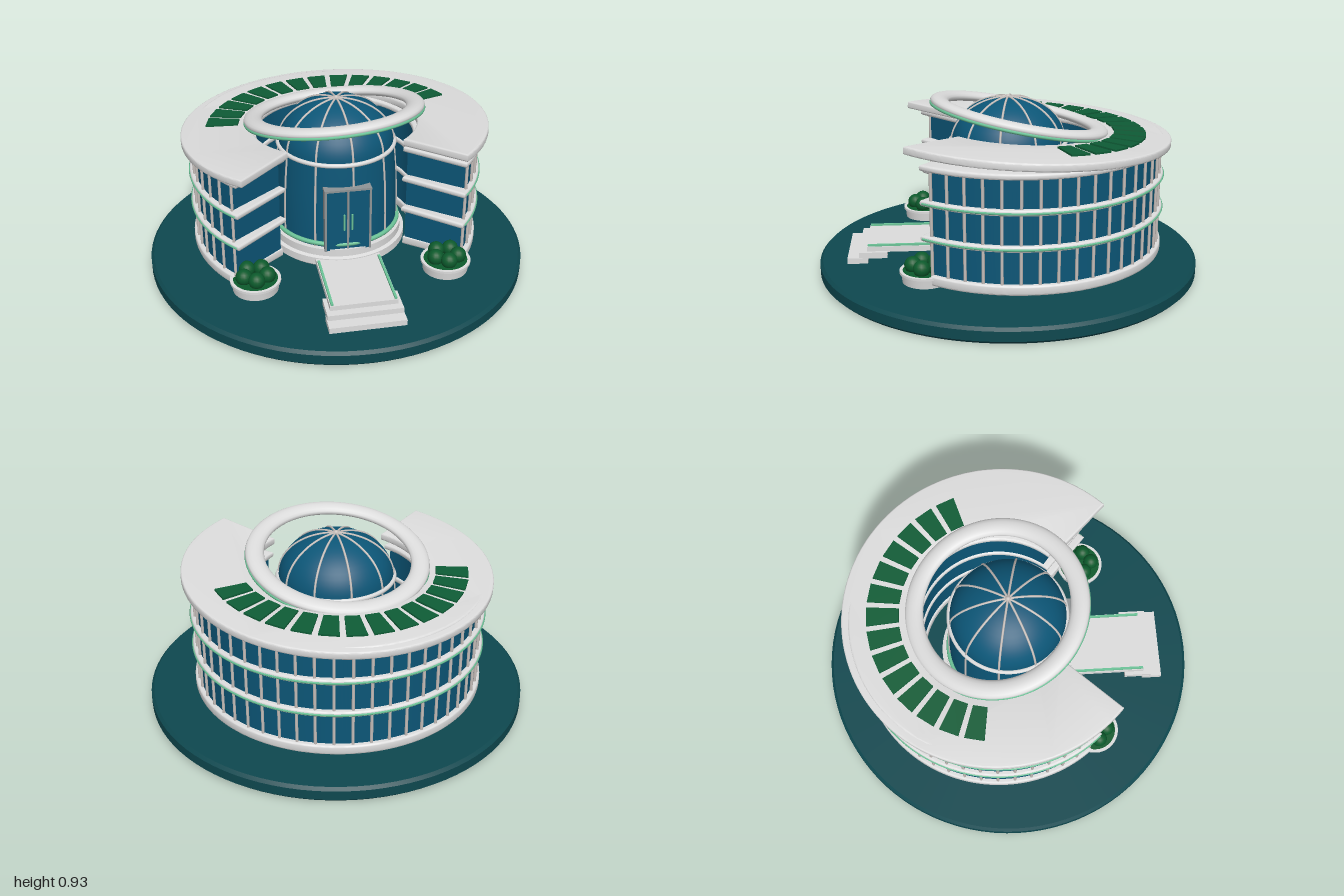
import * as THREE from 'three';
import { toCreasedNormals } from 'three/addons/utils/BufferGeometryUtils.js';

const mat = (name, color) => Object.assign(new THREE.MeshStandardMaterial({ color }), { name });
const M = {
  ground: mat('dark teal', 0x0e484f),
  glass: mat('blue glass', 0x0c5677),
  white: mat('white concrete', 0xdcdcdc),
  metal: mat('light metal', 0xc9c2be),
  frame: mat('door frame grey', 0x8f9496),
  panel: mat('panel green', 0x0e5c36),
  leaf: mat('leaf green', 0x0c5a2c),
  trim: mat('mint trim', 0x6cc498),
};
const CZ = -0.05; // centre of the horseshoe wing
const rad = THREE.MathUtils.degToRad;

function add(parent, name, geo, material, x = 0, y = 0, z = 0) {
  const m = new THREE.Mesh(geo, material);
  m.name = name;
  m.position.set(x, y, z);
  parent.add(m);
  return m;
}
const crease = (g) => toCreasedNormals(g, 0.6);
const lathe = (pts, n = 72) =>
  crease(new THREE.LatheGeometry(pts.map((p) => new THREE.Vector2(p[0], p[1])), n));

// Ring sector lying flat, open to the front; "end" is how far it passes the x axis
function sector(r0, r1, end, h, bevel = 0) {
  const a = -rad(end) + bevel / r1, b = Math.PI - a;
  const s = new THREE.Shape();
  s.absarc(0, 0, r1 - bevel, a, b, false);
  s.absarc(0, 0, r0 + bevel, b, a, true);
  const g = new THREE.ExtrudeGeometry(s, {
    depth: h - 2 * bevel, curveSegments: 90, bevelEnabled: bevel > 0,
    bevelSize: bevel, bevelThickness: bevel, bevelSegments: 3,
  });
  return crease(g.translate(0, 0, bevel).rotateX(-Math.PI / 2));
}

// Thin round trim following the wing
function arcTrim(r, end, tube) {
  return new THREE.TorusGeometry(r, tube, 6, 100, Math.PI + 2 * rad(end))
    .rotateZ(-rad(end)).rotateX(-Math.PI / 2);
}

function buildWing() {
  const g = new THREE.Group();
  g.name = 'wing';
  g.position.z = CZ;
  add(g, 'wingGlass', sector(0.42, 0.735, 38, 0.55), M.glass, 0, 0.16);
  const slabs = [[0.128, 0.05], [0.343, 0.03], [0.52, 0.03], [0.692, 0.03]];
  slabs.forEach(([y, h], i) => {
    add(g, 'floorSlab', sector(0.41, 0.76, i ? 42 : 38, h, 0.01), M.white, 0, y);
    if (i === 1 || i === 2) add(g, 'slabTrim', arcTrim(0.76, 41, 0.006), M.trim, 0, y + 0.014);
  });
  // Window mullions
  const n = 38, bar = new THREE.CylinderGeometry(0.008, 0.008, 0.54, 6);
  for (let i = 0; i < n; i++) {
    const a = rad(-38 + (256 * i) / (n - 1));
    add(g, 'mullion', bar, M.metal, 0.741 * Math.cos(a), 0.43, -0.741 * Math.sin(a));
  }
  return g;
}

function buildRoof() {
  const g = new THREE.Group();
  g.name = 'roof';
  g.position.set(0, 0.74, CZ);
  g.rotation.set(-0.055, 0, 0.028);
  add(g, 'roofSlab', sector(0.43, 0.795, 47, 0.04, 0.008), M.white, 0, -0.02);
  // Wedge-shaped solar panels
  const s = new THREE.Shape();
  s.moveTo(0.5, -0.036).lineTo(0.665, -0.05).lineTo(0.665, 0.05).lineTo(0.5, 0.036);
  const pg = new THREE.ExtrudeGeometry(s, { depth: 0.009, bevelEnabled: false }).rotateX(-Math.PI / 2);
  for (let i = 0; i < 14; i++) {
    const p = add(g, 'solarPanel', pg, M.panel, 0, 0.02, 0);
    p.rotation.y = rad(167 - i * 11.2);
  }
  return g;
}

// Floating tilted halo above the dome
function buildHalo() {
  const g = new THREE.Group();
  g.name = 'halo';
  g.position.set(0, 0.817, CZ - 0.01);
  g.rotation.set(-0.2, 0, 0.06);
  const ring = new THREE.TorusGeometry(0.422, 0.048, 16, 96).rotateX(Math.PI / 2).scale(1, 0.55, 1);
  add(g, 'haloRing', ring, M.white);
  add(g, 'haloTrim', new THREE.TorusGeometry(0.463, 0.009, 8, 96).rotateX(Math.PI / 2), M.trim, 0, -0.016);
  return g;
}

function buildRotunda() {
  const g = new THREE.Group();
  g.name = 'rotunda';
  add(g, 'rotundaBase', lathe([[0, 0.125], [0.355, 0.125], [0.365, 0.135], [0.365, 0.175],
    [0.345, 0.18], [0.345, 0.22], [0, 0.22]]), M.white);
  // Tapered drum rising into an elliptical dome
  const pts = [[0.32, 0.2], [0.319, 0.35], [0.312, 0.52], [0.298, 0.68]];
  for (let i = 1; i <= 14; i++) {
    const t = (i / 14) * Math.PI / 2;
    pts.push([i === 14 ? 0 : 0.298 * Math.cos(t), 0.68 + 0.235 * Math.sin(t)]);
  }
  add(g, 'domeGlass', lathe(pts), M.glass);
  const rib = new THREE.TubeGeometry(
    new THREE.CatmullRomCurve3(pts.map((p) => new THREE.Vector3(p[0] + 0.001, p[1] + 0.001, 0))), 48, 0.006, 6);
  for (let i = 0; i < 10; i++) add(g, 'domeRib', rib, M.metal).rotation.y = -rad(12 + i * 36);
  const hoop = (name, r, t, m, y) =>
    add(g, name, new THREE.TorusGeometry(r, t, 8, 80).rotateX(Math.PI / 2), m, 0, y);
  hoop('domeBand', 0.302, 0.012, M.white, 0.682);
  hoop('baseTrim', 0.327, 0.012, M.trim, 0.242);
  add(g, 'domeCap', new THREE.SphereGeometry(0.014, 12, 8), M.metal, 0, 0.915);
  return g;
}

function buildDoor() {
  const g = new THREE.Group();
  g.name = 'entrance';
  add(g, 'doorGlass', new THREE.BoxGeometry(0.23, 0.345, 0.05), M.glass, 0, 0.385, 0.307);
  for (const x of [-0.115, 0, 0.115])
    add(g, 'doorPost', new THREE.BoxGeometry(0.011, 0.35, 0.06), M.frame, x, 0.388, 0.308);
  add(g, 'doorLintel', new THREE.BoxGeometry(0.241, 0.011, 0.06), M.frame, 0, 0.56, 0.308);
  for (const x of [-0.02, 0.02])
    add(g, 'doorHandle', new THREE.CylinderGeometry(0.005, 0.005, 0.09, 8), M.trim, x, 0.38, 0.343);
  return g;
}

function buildWalkway() {
  const g = new THREE.Group();
  g.name = 'walkway';
  const step = (name, w, y0, y1, z0, z1) =>
    add(g, name, new THREE.BoxGeometry(w, y1 - y0, z1 - z0), M.white, 0, (y0 + y1) / 2, (z0 + z1) / 2);
  step('lowerStep', 0.38, 0.087, 0.117, 0.74, 0.845);
  step('middleStep', 0.375, 0.113, 0.145, 0.64, 0.785);
  step('walkDeck', 0.335, 0.14, 0.17, 0.33, 0.745);
  for (const x of [-0.157, 0.157])
    add(g, 'walkTrim', new THREE.BoxGeometry(0.012, 0.01, 0.38), M.trim, x, 0.175, 0.55);
  return g;
}

function buildPlanter(side) {
  const g = new THREE.Group();
  g.name = side > 0 ? 'leftPlanter' : 'rightPlanter';
  g.position.set(side * 0.49, 0, 0.44);
  add(g, 'planterBowl', lathe([[0, 0.112], [0.115, 0.112], [0.12, 0.155], [0.128, 0.158],
    [0.128, 0.17], [0.112, 0.17], [0.112, 0.16], [0, 0.16]], 40), M.white);
  add(g, 'planterBed', new THREE.CylinderGeometry(0.112, 0.112, 0.008, 40), M.leaf, 0, 0.165);
  const ball = new THREE.SphereGeometry(0.042, 16, 12);
  for (let i = 0; i < 5; i++) {
    const a = rad(90 + i * 72);
    add(g, 'shrub', ball, M.leaf, 0.062 * Math.cos(a), 0.195, 0.062 * Math.sin(a));
  }
  return g;
}

export function createModel() {
  const model = new THREE.Group();
  model.name = 'roundBuilding';
  add(model, 'groundDisc', lathe([[0, 0], [0.985, 0], [1, 0.015], [1, 0.065], [0.985, 0.08], [0, 0.08]], 96), M.ground);
  model.add(buildWing(), buildRoof(), buildHalo(), buildRotunda(), buildDoor(), buildWalkway(),
    buildPlanter(1), buildPlanter(-1));
  return model;
}
